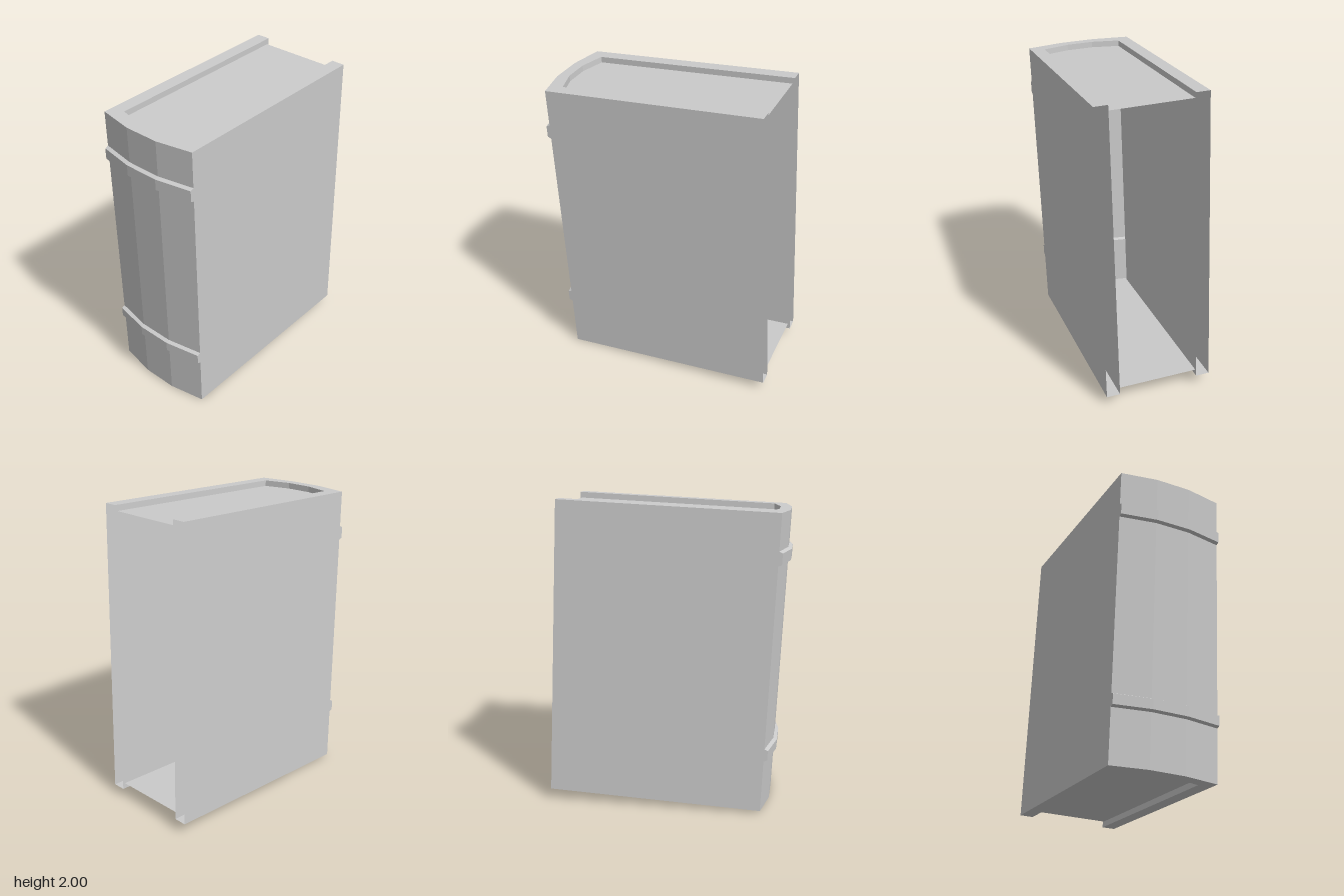
import * as THREE from 'three';

const material = new THREE.MeshStandardMaterial({
  color: 0xcccccc, flatShading: true, side: THREE.DoubleSide,
});
const H = 0.963;      // half height of the cover
const PAGE_Y = 0.925; // half height of the page block

// Half outlines [x, z], from the fore edge to the middle of the spine
const outerHalf = [[0.725, 0.352], [-0.675, 0.352], [-0.72, 0.116]];
const innerHalf = [[0.725, 0.264], [-0.6, 0.264], [-0.648, 0.088]];
const pageHalf = [[0.71, 0.264], ...innerHalf.slice(1)];

const mirror = (half) => [...half, ...half.map(([x, z]) => [x, -z]).reverse()];

// Wall through rows of points; empty triangles are left out
function wall(rows) {
  const pos = [];
  const tri = new THREE.Triangle();
  const add = (a, b, c) => {
    if (tri.set(a, b, c).getArea() > 1e-7) for (const p of [a, b, c]) pos.push(p.x, p.y, p.z);
  };
  for (let r = 0; r < rows.length - 1; r++) {
    for (let i = 0; i < rows[r].length - 1; i++) {
      const a = rows[r][i], b = rows[r][i + 1], c = rows[r + 1][i + 1], d = rows[r + 1][i];
      add(b, a, d);
      add(b, d, c);
    }
  }
  const geo = new THREE.BufferGeometry();
  geo.setAttribute('position', new THREE.Float32BufferAttribute(pos, 3));
  geo.computeVertexNormals();
  return geo;
}

const row = (path, y) => path.map(([x, z]) => new THREE.Vector3(x, y, z));

// Flat horizontal sheet facing up (side 1) or down (side -1)
function sheet(path, y, side) {
  const shape = new THREE.Shape(path.map(([x, z]) => new THREE.Vector2(x, z)));
  return new THREE.ShapeGeometry(shape).rotateX(-side * Math.PI / 2).translate(0, side * y, 0);
}

export function createModel() {
  const group = new THREE.Group();
  group.name = 'book';
  const book = new THREE.Group();
  book.name = 'tiltedBook';
  book.position.y = 1;
  book.rotation.set(0.023, 0.02, 0.042);
  group.add(book);

  const part = (name, geo) => {
    const mesh = new THREE.Mesh(geo, material);
    mesh.name = name;
    book.add(mesh);
  };

  // Outer cover; the spine swells out into two raised bands
  const profile = [[-H, 0]];
  for (const [low, high] of [[-0.62, -0.536], [0.64, 0.732]]) {
    profile.push([low, 0], [low + 0.01, 0.023], [high - 0.01, 0.023], [high, 0]);
  }
  profile.push([H, 0]);
  const coverRows = profile.map(([y, out]) => {
    const [edge, corner, mid] = outerHalf;
    const swollen = [corner, mid].map(([x, z]) => [x - out, z]);
    return row(mirror([edge, corner, ...swollen]), y);
  });
  part('outerCoverAndSpineBands', wall(coverRows));

  // Inner faces of the two boards, open at the fore edge
  for (const [name, s] of [['frontBoardInside', 1], ['backBoardInside', -1]]) {
    const line = innerHalf.slice(0, 2).map(([x, z]) => [x, z * s]);
    if (s > 0) line.reverse();
    part(name, wall([row(line, -H), row(line, H)]));
  }

  // Rims, page sheets and the short step behind the spine, at both ends
  const rim = [...mirror(outerHalf), ...mirror(innerHalf).reverse()];
  const step = mirror(innerHalf).slice(1, -1).reverse();
  for (const [end, side] of [['top', 1], ['bottom', -1]]) {
    part(end + 'Rim', sheet(rim, H, side));
    part(end + 'Pages', sheet(mirror(pageHalf), PAGE_Y, side));
    const ys = side > 0 ? [PAGE_Y, H] : [-H, -PAGE_Y];
    part(end + 'SpineStep', wall(ys.map((y) => row(step, y))));
  }
  return group;
}
